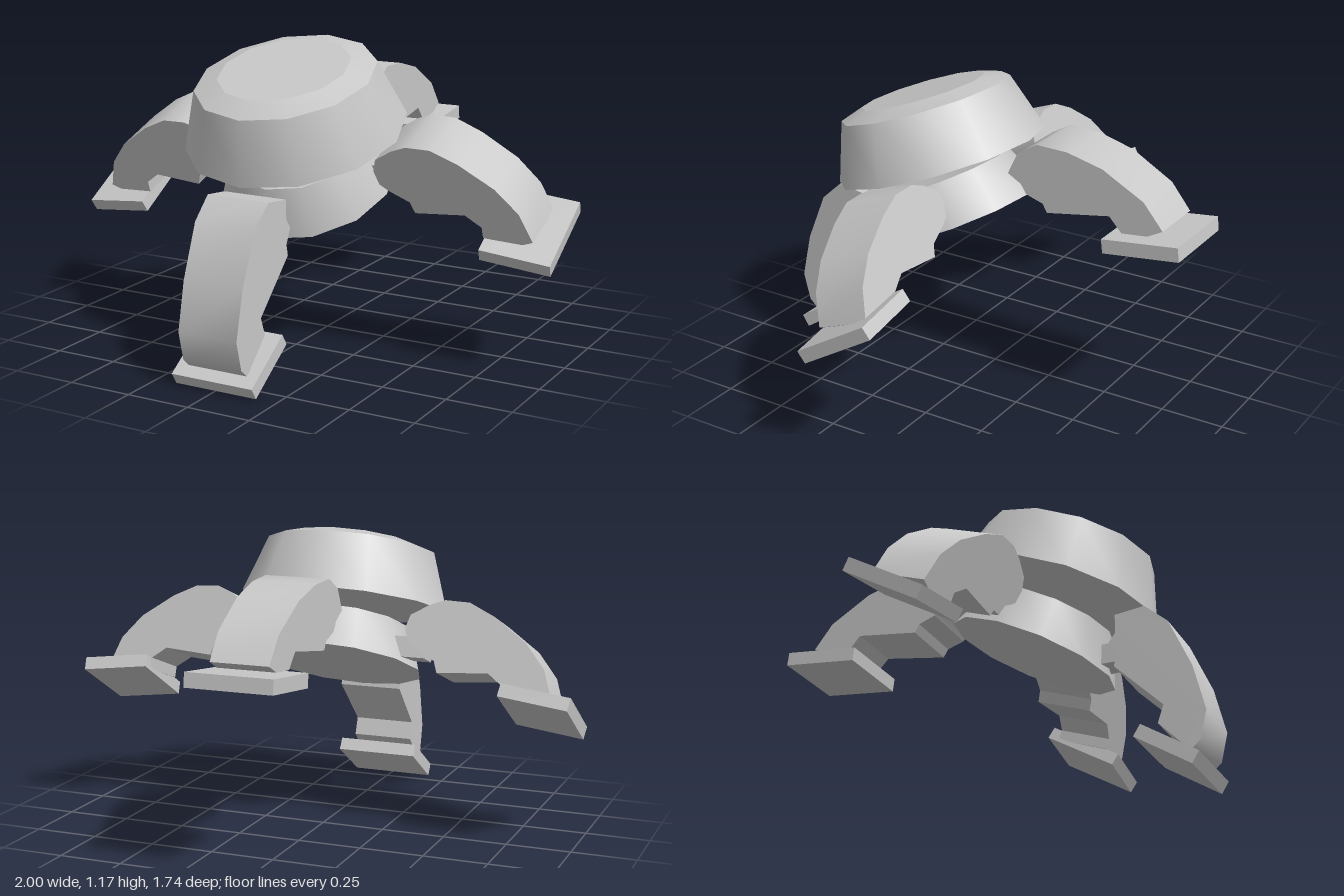
import * as THREE from 'three';
import { toCreasedNormals } from 'three/addons/utils/BufferGeometryUtils.js';

const grey = new THREE.MeshStandardMaterial({ color: 0xc8c8c8 });
grey.name = 'light grey';

const toPoints = (list) => list.map(([x, y]) => new THREE.Vector2(x, y));

function addPart(parent, name, geometry, position, rotation = [0, 0, 0]) {
  const mesh = new THREE.Mesh(geometry, grey);
  mesh.name = name;
  mesh.position.set(...position);
  mesh.rotation.set(...rotation);
  parent.add(mesh);
  return mesh;
}

// Turned body section with sharp rims
function turned(profile, crease = 0.6) {
  return toCreasedNormals(new THREE.LatheGeometry(toPoints(profile), 12), crease);
}

// Curved leg: side outline (outward distance, height) extruded, slightly narrower at the tip
function legGeometry(outline, width, side = 1) {
  const shape = new THREE.Shape(toPoints(outline.map(([x, y]) => [x * side, y])));
  const g = new THREE.ExtrudeGeometry(shape, { depth: width, bevelEnabled: false });
  g.translate(0, 0, -width / 2);
  const p = g.attributes.position;
  const start = outline[0][0];
  for (let i = 0; i < p.count; i++) {
    const t = Math.max(0, Math.abs(p.getX(i)) - start);
    p.setZ(i, p.getZ(i) * (1 - 0.22 * t));
  }
  return toCreasedNormals(g, 0.62);
}

const frontOutline = [
  [0.54, 0.586], [0.54, 0.66], [0.656, 0.674], [0.744, 0.595], [0.827, 0.4], [0.869, 0.22],
  [0.841, 0.109], [0.804, 0.076], [0.688, 0.197], [0.712, 0.266], [0.53, 0.451], [0.54, 0.493],
  [0.512, 0.55],
];
const backOutline = [
  [0.137, 0.891], [0.178, 0.979], [0.257, 1.026], [0.382, 1.021], [0.526, 0.984], [0.693, 0.891],
  [0.772, 0.794], [0.712, 0.762], [0.61, 0.752], [0.559, 0.808], [0.304, 0.766], [0.285, 0.799],
  [0.216, 0.822], [0.192, 0.859],
];
const sideOutline = [
  [0.33, 0.77], [0.345, 0.82], [0.414, 0.862], [0.474, 0.885], [0.57, 0.882], [0.67, 0.835],
  [0.8, 0.745], [0.88, 0.65], [0.92, 0.535], [0.88, 0.52], [0.73, 0.53], [0.73, 0.575],
  [0.67, 0.62], [0.473, 0.605], [0.457, 0.65], [0.38, 0.69], [0.345, 0.715],
];

export function createModel() {
  const model = new THREE.Group();
  model.name = 'fourLeggedWalker';

  // Tilted upper body with a shallow faceted crown
  const upper = new THREE.Group();
  upper.name = 'upperBody';
  upper.position.set(0, 0.845, 0.245);
  upper.rotation.x = 0.33;
  model.add(upper);
  addPart(upper, 'upperShell', turned([[0, 0], [0.42, 0], [0.342, 0.23]]), [0, 0, 0]);
  addPart(upper, 'crown', turned([[0.342, 0.23], [0.25, 0.261], [0, 0.261]], 0.2), [0, 0, 0]);

  // Lower body, flaring downwards
  addPart(model, 'lowerBody', turned([[0, 0], [0.338, 0], [0.265, 0.172], [0, 0.172]]),
    [0, 0.622, 0.155], [0.436, 0, 0]);

  // Front leg
  addPart(model, 'frontLeg', legGeometry(frontOutline, 0.26), [0, 0, 0], [0, -Math.PI / 2, 0]);
  addPart(model, 'frontJoint', new THREE.BoxGeometry(0.1, 0.08, 0.13), [0, 0.55, 0.49]);
  addPart(model, 'frontFoot', new THREE.BoxGeometry(0.335, 0.052, 0.254),
    [0, 0.097, 0.728], [0.575, 0, 0]);

  // Back leg
  addPart(model, 'backLeg', legGeometry(backOutline, 0.262), [0, 0, 0], [0, Math.PI / 2, 0]);
  addPart(model, 'backFoot', new THREE.BoxGeometry(0.335, 0.055, 0.308),
    [0, 0.726, -0.71], [0.122, 0, 0]);

  // Left and right legs, leaning forward with the body
  for (const [label, s] of [['left', 1], ['right', -1]]) {
    addPart(model, label + 'Leg', legGeometry(sideOutline, 0.25, s),
      [0, 0.047, -0.129], [0.349, 0, 0]);
    addPart(model, label + 'Joint', new THREE.BoxGeometry(0.14, 0.08, 0.1),
      [s * 0.32, 0.71, 0.12], [0.349, 0, 0]);
    addPart(model, label + 'Foot', new THREE.BoxGeometry(0.27, 0.052, 0.335),
      [s * 0.865, 0.524, 0.046], [0.54, 0, -s * 0.13]);
  }
  return model;
}
